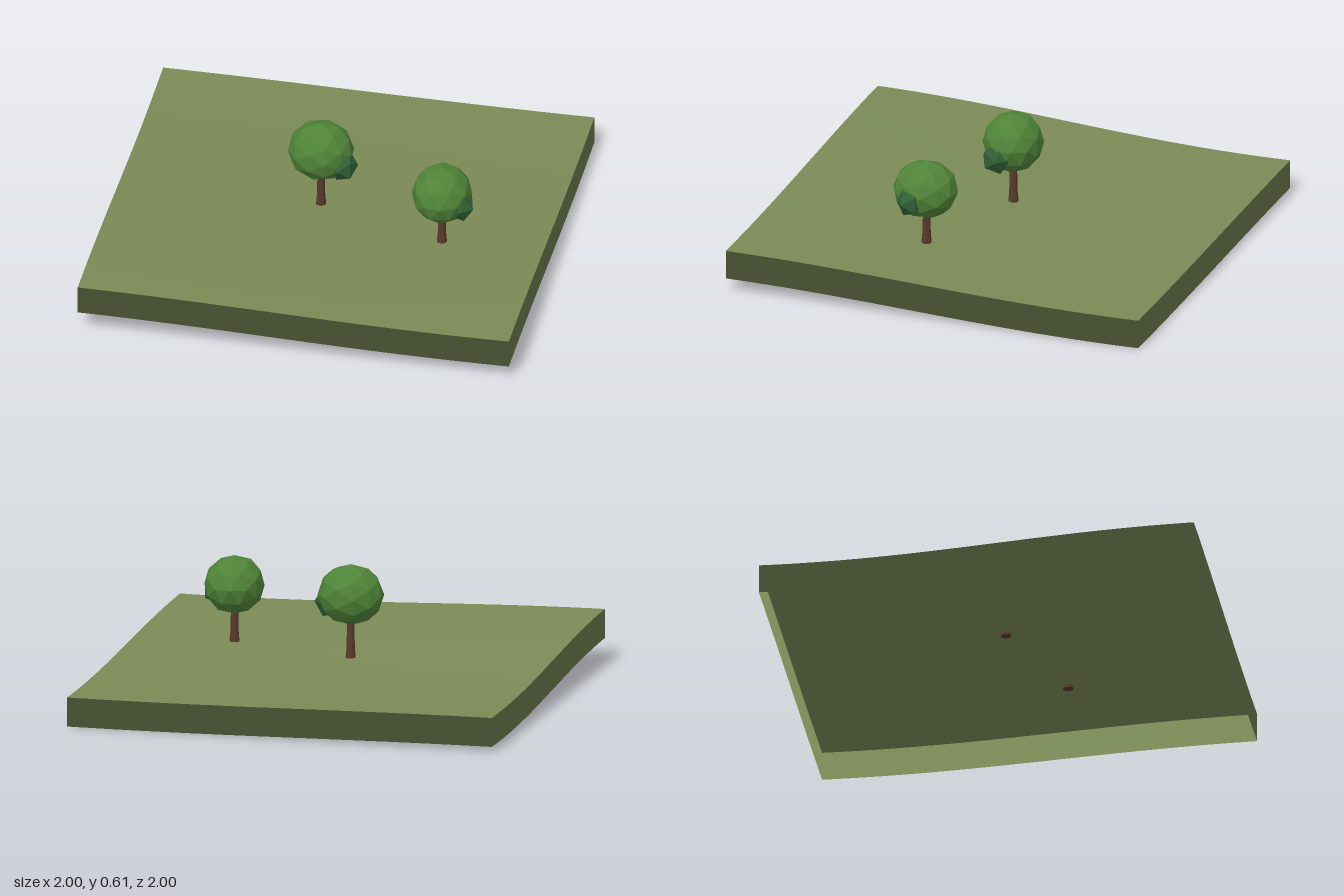
import * as THREE from 'three';

const SKIRT = 0.135;

// Gentle slope: rises to the front, and a little to the right-hand side (-x)
function heightAt(x, z) {
  const s = Math.sin(1.7 * (z - 0.1));
  const t = 0.5 + 0.5 * Math.sin(1.7 * x + 0.2);
  return THREE.MathUtils.lerp(0.195 + 0.042 * s, 0.165 + 0.03 * s, t);
}

// Grid whose outermost ring is clamped to the border and dropped, forming an open skirt
function createGround() {
  const n = 42;
  const geo = new THREE.PlaneGeometry(2, 2, n, n).rotateX(-Math.PI / 2);
  const pos = geo.attributes.position, nor = geo.attributes.normal;
  const normal = new THREE.Vector3(), e = 0.01;
  const coord = (i) => THREE.MathUtils.clamp(-1 + (2 * (i - 1)) / (n - 2), -1, 1);
  for (let k = 0; k < pos.count; k++) {
    const i = k % (n + 1), j = Math.floor(k / (n + 1));
    const x = coord(i), z = coord(j);
    const rim = i === 0 || j === 0 || i === n || j === n;
    pos.setXYZ(k, x, heightAt(x, z) - (rim ? SKIRT : 0), z);
    normal.set(
      heightAt(x - e, z) - heightAt(x + e, z), 2 * e,
      heightAt(x, z - e) - heightAt(x, z + e)).normalize();
    nor.setXYZ(k, normal.x, normal.y, normal.z);
  }
  const ground = new THREE.Mesh(geo,
    new THREE.MeshStandardMaterial({ color: 0x7b8a56, side: THREE.DoubleSide }));
  ground.name = 'ground';
  return ground;
}

const bark = new THREE.MeshStandardMaterial({ color: 0x58392b, flatShading: true });
const leaf = new THREE.MeshStandardMaterial({ color: 0x4f8438, flatShading: true });
const darkLeaf = new THREE.MeshStandardMaterial({ color: 0x2f5f34, flatShading: true });

// Faceted foliage ball
function foliage(name, center, radii, detail, turn, material) {
  const mesh = new THREE.Mesh(new THREE.IcosahedronGeometry(1, detail).rotateY(turn), material);
  mesh.name = name;
  mesh.scale.set(...radii);
  mesh.position.set(...center);
  return mesh;
}

function createTree({ name, x, z, crown, crownRadii, tuft, tuftRadii, turn }) {
  const tree = new THREE.Group();
  tree.name = name;
  // Trunk, flared at the foot and sunk slightly into the ground
  const base = heightAt(x, z) - 0.012, height = crown[1] - base;
  const profile = [[0, 0], [0.025, 0], [0.02, 0.055], [0.017, height * 0.6], [0.015, height]];
  const trunk = new THREE.Mesh(
    new THREE.LatheGeometry(profile.map(([r, y]) => new THREE.Vector2(r, y)), 7), bark);
  trunk.name = 'trunk';
  trunk.position.set(x, base, z);
  tree.add(trunk,
    foliage('crown', crown, crownRadii, 1, turn, leaf),
    foliage('sideTuft', tuft, tuftRadii, 0, turn + 0.5, darkLeaf));
  return tree;
}

export function createModel() {
  const model = new THREE.Group();
  model.name = 'hillsideWithTrees';
  model.add(
    createGround(),
    createTree({
      name: 'middleTree', x: -0.07, z: 0, turn: 0.3,
      crown: [-0.07, 0.465, 0], crownRadii: [0.153, 0.141, 0.139],
      tuft: [0.04, 0.42, 0.04], tuftRadii: [0.07, 0.077, 0.072],
    }),
    createTree({
      name: 'leftTree', x: 0.53, z: 0.2, turn: 1.7,
      crown: [0.532, 0.435, 0.203], crownRadii: [0.138, 0.136, 0.152],
      tuft: [0.625, 0.402, 0.24], tuftRadii: [0.068, 0.073, 0.07],
    }));
  return model;
}
